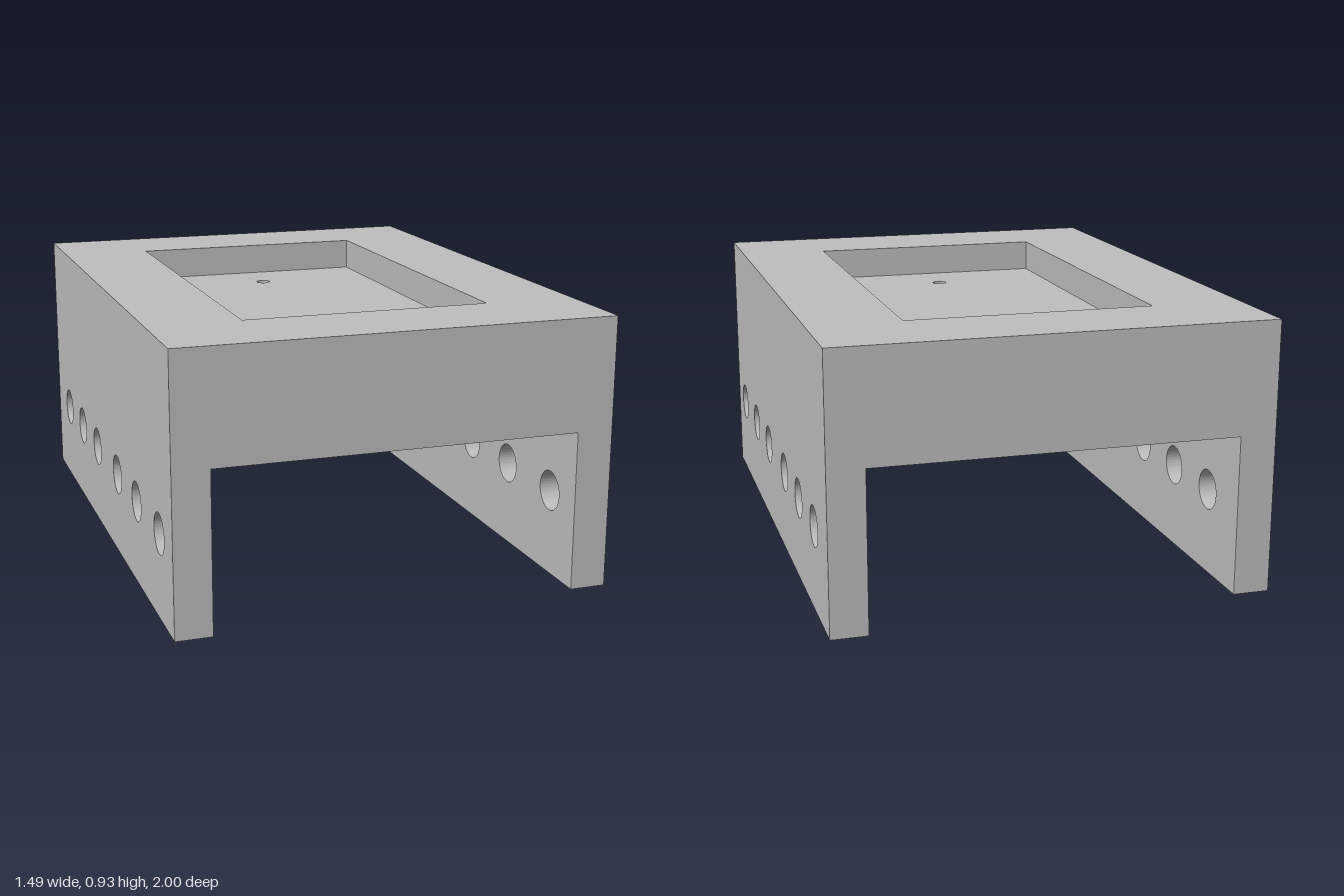
import * as THREE from 'three';
import { toCreasedNormals } from 'three/addons/utils/BufferGeometryUtils.js';

const HALF_X = 0.743, INNER_X = 0.619, TOP = 0.928, CEILING = 0.546, POCKET_FLOOR = 0.816;

// Rectangle outline as a list of corners
const rect = (x0, y0, x1, y1) => [[x0, y0], [x1, y0], [x1, y1], [x0, y1]].map(([x, y]) => new THREE.Vector2(x, y));

const circle = (x, y, r) => new THREE.Path().absarc(x, y, r, 0, Math.PI * 2, true);

// Extruded panel with holes, smooth inside the bores and sharp at the edges
function panel(outline, holes, depth) {
  const shape = new THREE.Shape(outline);
  shape.holes.push(...holes);
  const geometry = new THREE.ExtrudeGeometry(shape, { depth, bevelEnabled: false, curveSegments: 40 });
  return toCreasedNormals(geometry, Math.PI / 6);
}

export function createModel() {
  const group = new THREE.Group();
  group.name = 'mountingBracket';
  const grey = new THREE.MeshStandardMaterial({ color: 0xbfbfbf });
  grey.name = 'plain grey';

  const add = (name, geometry) => {
    const mesh = new THREE.Mesh(geometry, grey);
    mesh.name = name;
    group.add(mesh);
  };

  // Side walls, each with a row of six bores (panel x runs along -z)
  const boreZ = [0.82, 0.493, 0.183, -0.178, -0.473, -0.762];
  for (const [name, x] of [['leftWall', INNER_X], ['rightWall', -HALF_X]]) {
    const bores = boreZ.map((z) => circle(-z, 0.292, 0.069));
    const wall = panel(rect(-1, 0, 1, TOP), bores, HALF_X - INNER_X);
    add(name, wall.rotateY(Math.PI / 2).translate(x, 0, 0));
  }

  // Deck between the walls, with two screw holes (panel y runs along -z)
  const screwHoles = [-0.484, 0.48].map((z) => circle(0, -z, 0.0255));
  const deck = panel(rect(-INNER_X, -1, INNER_X, 1), screwHoles, POCKET_FLOOR - CEILING);
  add('deck', deck.rotateX(-Math.PI / 2).translate(0, CEILING, 0));

  // Rim that frames the rectangular pocket
  const pocket = new THREE.Path(rect(-0.426, -0.684, 0.426, 0.688));
  const rim = panel(rect(-INNER_X, -1, INNER_X, 1), [pocket], TOP - POCKET_FLOOR);
  add('pocketRim', rim.rotateX(-Math.PI / 2).translate(0, POCKET_FLOOR, 0));

  return group;
}
